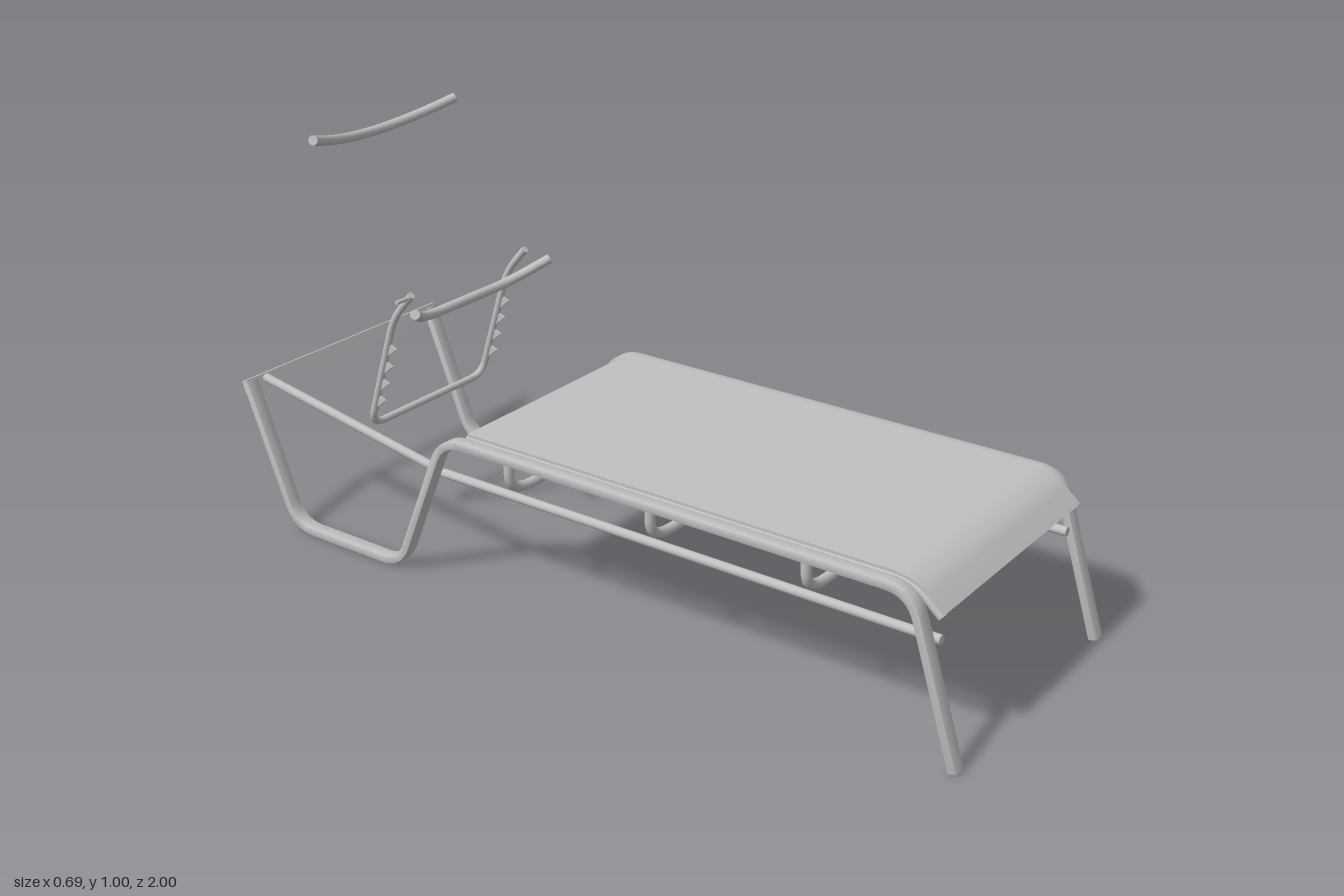
import * as THREE from 'three';
import { mergeGeometries, toCreasedNormals } from 'three/addons/utils/BufferGeometryUtils.js';

const V = (x, y, z) => new THREE.Vector3(x, y, z);

// Polyline with rounded corners; bend is the length cut from each side of a corner
function roundedPath(pts, bend) {
  const path = new THREE.CurvePath();
  let from = pts[0];
  for (let i = 1; i < pts.length - 1; i++) {
    const p = pts[i];
    const toward = (q) => p.clone().add(
      q.clone().sub(p).setLength(Math.min(bend, q.distanceTo(p) * 0.49)));
    const a = toward(pts[i - 1]), b = toward(pts[i + 1]);
    path.add(new THREE.LineCurve3(from, a));
    path.add(new THREE.QuadraticBezierCurve3(a, p, b));
    from = b;
  }
  path.add(new THREE.LineCurve3(from, pts[pts.length - 1]));
  return path;
}

// Points along a rounded path, dense only in the bends
function pathPoints(path) {
  const out = [];
  path.curves.forEach((c, i) => {
    const n = c.isLineCurve3 ? 1 : 8;
    for (let k = i ? 1 : 0; k <= n; k++) out.push(c.getPoint(k / n));
  });
  return out;
}

// Round tube with closed ends
function tubeGeometry(curve, r, segments) {
  const parts = [new THREE.TubeGeometry(curve, segments, r, 14)];
  for (const t of [0, 1]) {
    const dir = curve.getTangentAt(t).multiplyScalar(t ? 1 : -1);
    const cap = new THREE.CircleGeometry(r, 14);
    cap.applyQuaternion(new THREE.Quaternion().setFromUnitVectors(V(0, 0, 1), dir));
    const p = curve.getPointAt(t);
    parts.push(cap.translate(p.x, p.y, p.z));
  }
  return mergeGeometries(parts);
}

// Extrude a side-on shape, drawn with u = -z and v = y, across x
function extrudeAcross(shape, x0, x1, bevel = 0) {
  const g = new THREE.ExtrudeGeometry(shape, {
    depth: x1 - x0 - 2 * bevel, bevelEnabled: bevel > 0,
    bevelSize: bevel, bevelThickness: bevel, bevelOffset: -bevel, bevelSegments: 2,
  });
  g.rotateY(Math.PI / 2).translate(x0 + bevel, 0, 0);
  return toCreasedNormals(g, 0.6);
}

// Flat strip of even thickness that follows a side profile of [z, y] points
function stripGeometry(profile, bend, thick, x0, x1, bevel) {
  const pts = pathPoints(roundedPath(profile.map(([z, y]) => V(-z, y, 0)), bend));
  const upper = [], lower = [];
  pts.forEach((p, i) => {
    const d0 = p.clone().sub(pts[Math.max(i - 1, 0)]).normalize();
    const d1 = pts[Math.min(i + 1, pts.length - 1)].clone().sub(p).normalize();
    const d = d0.add(d1).normalize();
    const n = new THREE.Vector2(-d.y, d.x).multiplyScalar(thick / 2);
    upper.push(new THREE.Vector2(p.x, p.y).add(n));
    lower.unshift(new THREE.Vector2(p.x, p.y).sub(n));
  });
  return extrudeAcross(new THREE.Shape([...upper, ...lower]), x0, x1, bevel);
}

export function createModel() {
  const model = new THREE.Group();
  model.name = 'sunLounger';
  const grey = new THREE.MeshStandardMaterial({ color: 0xc0c0c0 });
  grey.name = 'light grey';

  const add = (name, geometry) => {
    const mesh = new THREE.Mesh(geometry, grey);
    mesh.name = name;
    model.add(mesh);
    return mesh;
  };
  const bentTube = (name, pts, r, bend) =>
    add(name, tubeGeometry(roundedPath(pts, bend), r, 96));
  const rod = (name, a, b, r) => add(name, tubeGeometry(new THREE.LineCurve3(a, b), r, 1));

  // Side frames: front leg, seat rail and rear loop in one flat bar
  const frame = [[0.99, 0.005], [0.875, 0.375], [-0.345, 0.375],
    [-0.495, 0.011], [-0.845, 0.011], [-0.985, 0.362]];
  add('leftSideFrame', stripGeometry(frame, 0.06, 0.02, 0.31, 0.345, 0.003));
  add('rightSideFrame', stripGeometry(frame, 0.06, 0.02, -0.345, -0.31, 0.003));

  // Bar joining the rear ends of the frames
  const rearBar = add('rearCrossbar', new THREE.BoxGeometry(0.69, 0.032, 0.018));
  rearBar.position.set(0, 0.352, -0.982);
  rearBar.rotation.x = -0.38;

  // Sling seat, rolled down at the front
  add('slingSeat', stripGeometry(
    [[0.932, 0.328], [0.865, 0.389], [-0.295, 0.389]], 0.06, 0.007, -0.306, 0.306, 0));

  for (const [side, s] of [['left', 1], ['right', -1]]) {
    // Tube inside the sling hem
    bentTube(side + 'SlingTube', [V(s * 0.297, 0.318, 0.925),
      V(s * 0.297, 0.375, 0.86), V(s * 0.297, 0.375, -0.3)], 0.011, 0.05);
    // Long rail below the seat
    const y = s > 0 ? 0.266 : 0.26;
    rod(side + 'LowerRail', V(s * 0.285, y, 0.92), V(s * 0.285, y, -0.4), 0.011);
  }

  // Sloping rail on one side only
  rod('slopingRail', V(-0.285, 0.262, -0.395), V(-0.285, 0.36, -0.975), 0.011);

  // Three bowed braces under the seat
  for (const z of [0.613, 0.217, -0.178]) {
    bentTube('seatBrace', [V(-0.302, 0.365, z), V(-0.302, 0.295, z), V(-0.255, 0.273, z),
      V(0.255, 0.273, z), V(0.302, 0.295, z), V(0.302, 0.365, z)], 0.012, 0.04);
  }

  // Backrest prop: a U-shaped tube with bent tips
  const low = V(0, 0.275, -0.698), high = V(0, 0.575, -0.604), tip = V(0, 0.646, -0.542);
  const at = (p, x) => V(x, p.y, p.z);
  bentTube('backrestProp', [at(tip, -0.207), at(high, -0.207), at(low, -0.207),
    at(low, 0.207), at(high, 0.207), at(tip, 0.207)], 0.009, 0.045);

  // Ratchet teeth on the front of the prop
  const along = new THREE.Vector2(low.z - high.z, high.y - low.y).normalize();
  const out = new THREE.Vector2(-along.y, along.x);
  const onProp = (t, d) => new THREE.Vector2(-low.z, low.y)
    .addScaledVector(along, t).addScaledVector(out, d);
  for (const s of [1, -1]) {
    for (let i = 0; i < 4; i++) {
      const t = 0.055 + i * 0.05;
      const tooth = new THREE.Shape([onProp(t, 0.005), onProp(t + 0.038, 0.005),
        onProp(t + 0.036, 0.028)]);
      add('ratchetTooth', extrudeAcross(tooth, s * 0.207 - 0.003, s * 0.207 + 0.003));
    }
  }

  // Small pin at the tip of the prop
  rod('propPin', V(-0.25, 0.638, -0.55), V(-0.207, 0.638, -0.55), 0.005);

  // Lower backrest tube with swept ends
  bentTube('backrestTube', [V(-0.247, 0.62, -0.496), V(-0.158, 0.571, -0.556),
    V(0.158, 0.571, -0.556), V(0.247, 0.62, -0.496)], 0.012, 0.07);

  // Bowed tube at the head end
  add('headTube', tubeGeometry(new THREE.QuadraticBezierCurve3(
    V(-0.247, 0.986, -0.793), V(0, 0.906, -0.891), V(0.247, 0.986, -0.793)), 0.012, 32));

  return model;
}
